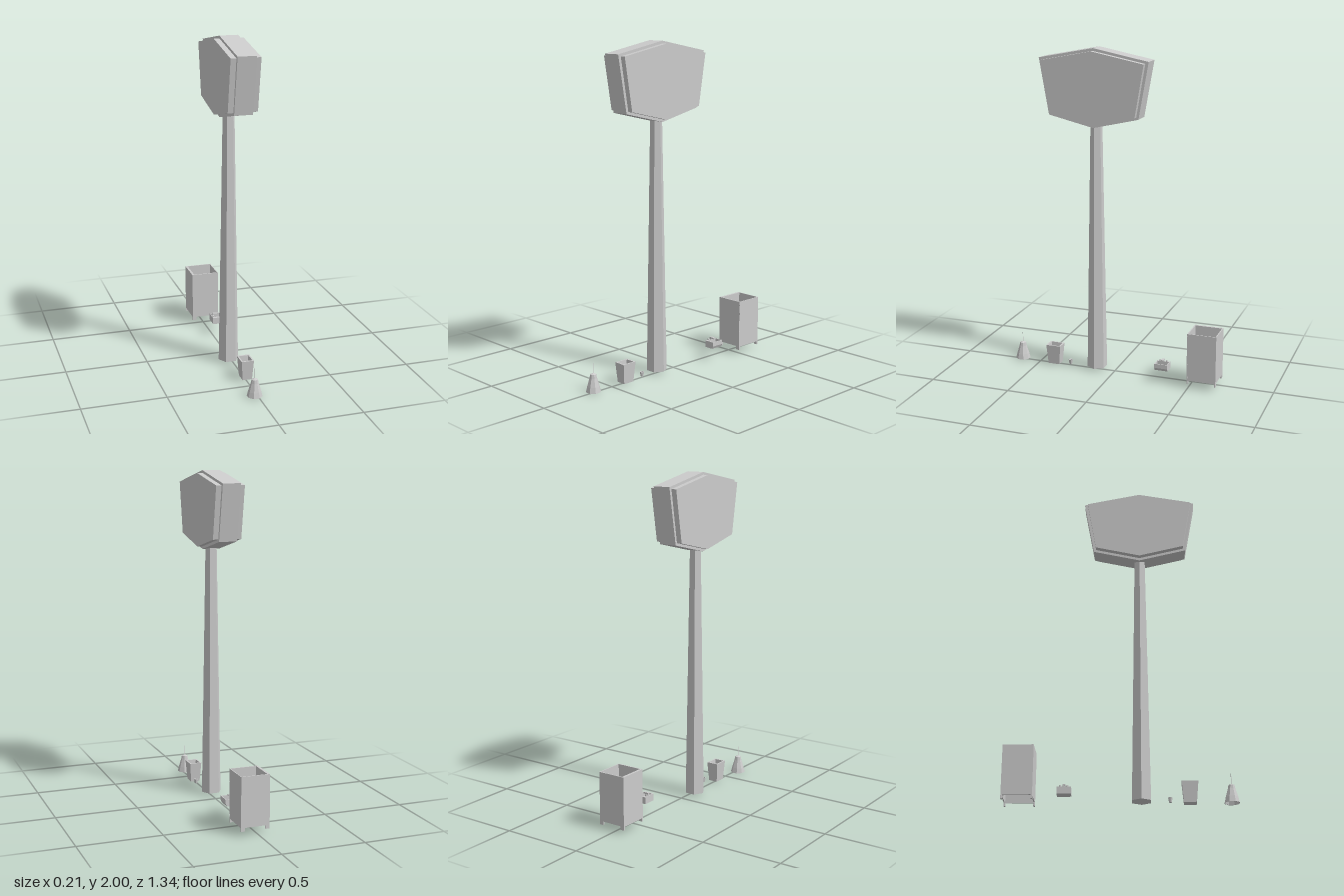
import * as THREE from 'three';

const mat = new THREE.MeshStandardMaterial({ color: 0xcccccc, flatShading: true, side: THREE.DoubleSide });

function add(parent, name, geometry, x = 0, y = 0, z = 0) {
  const mesh = new THREE.Mesh(geometry, mat);
  mesh.name = name;
  mesh.position.set(x, y, z);
  parent.add(mesh);
  return mesh;
}

function group(parent, name, x = 0, y = 0, z = 0) {
  const g = new THREE.Group();
  g.name = name;
  g.position.set(x, y, z);
  parent.add(g);
  return g;
}

// Box given by its low and high corners
function box(parent, name, [x0, y0, z0], [x1, y1, z1]) {
  return add(parent, name, new THREE.BoxGeometry(x1 - x0, y1 - y0, z1 - z0),
    (x0 + x1) / 2, (y0 + y1) / 2, (z0 + z1) / 2);
}

// Faceted lathe whose flat sides line up with the axes
function facetedLathe(profile, sides) {
  const points = profile.map(([r, y]) => new THREE.Vector2(r / Math.cos(Math.PI / sides), y));
  return new THREE.LatheGeometry(points, sides, Math.PI / sides);
}

// Profile drawn in (z, y), extruded across x from x0 to x1
function slab(points, x0, x1) {
  const shape = new THREE.Shape(points.map(([z, y]) => new THREE.Vector2(z, y)));
  const geo = new THREE.ExtrudeGeometry(shape, { depth: x1 - x0, bevelEnabled: false });
  return geo.rotateY(-Math.PI / 2).translate(x1, 0, 0);
}

// Symmetric six-sided sign outline
function signOutline(shoulder, shoulderY, foot, footY, top, bottom) {
  return [[0, bottom], [foot, footY], [shoulder, shoulderY], [0, top], [-shoulder, shoulderY], [-foot, footY]];
}

function buildSign(root) {
  const sign = group(root, 'roadsideSign', -0.017, 0, 0.122);
  add(sign, 'signFrame', slab(signOutline(0.34, 1.934, 0.28, 1.597, 2.0, 1.532), -0.055, 0.055));
  add(sign, 'signPanels', slab(signOutline(0.32, 1.922, 0.267, 1.61, 1.984, 1.548), -0.088, 0.088));
  // Tapered hexagonal pole with corners pointing along x
  const pole = new THREE.CylinderGeometry(0.036, 0.062, 1.534, 6);
  pole.rotateY(Math.PI / 2);
  add(sign, 'signPole', pole, 0, 0.783, 0);
}

function buildLamp(root) {
  const lamp = group(root, 'pendantLamp', -0.016, 0, 0.628);
  add(lamp, 'lampShade', facetedLathe([
    [0.038, 0.003], [0.042, 0.003], [0.035, 0.035], [0.021, 0.085], [0.017, 0.107], [0, 0.114],
    [0, 0.108], [0.013, 0.102], [0.017, 0.083], [0.031, 0.035], [0.038, 0.003],
  ], 8));
  add(lamp, 'lampBulb', new THREE.SphereGeometry(0.013, 8, 6), 0, 0.04, 0);
  add(lamp, 'bulbSocket', new THREE.CylinderGeometry(0.007, 0.007, 0.06, 8), 0, 0.078, 0);
  add(lamp, 'lampCord', new THREE.CylinderGeometry(0.0015, 0.0015, 0.064, 6), 0, 0.143, 0);
}

function buildBin(root) {
  const bin = group(root, 'wasteBin', 0.004, 0, 0.396);
  const walls = add(bin, 'binWalls', facetedLathe([
    [0, 0.01], [0.036, 0.01], [0.047, 0.132], [0.037, 0.132], [0.028, 0.02], [0, 0.02],
  ], 4));
  walls.scale.x = 0.8;
}

function buildCup(root) {
  const cup = group(root, 'smallCup', 0.026, 0, 0.284);
  add(cup, 'cupWalls', facetedLathe([
    [0, 0.023], [0.008, 0.023], [0.0125, 0.05], [0.01, 0.05], [0.006, 0.027], [0, 0.027],
  ], 8));
}

function buildSink(root) {
  const sink = group(root, 'sink', 0.039, 0, -0.32);
  const hx = 0.034, hz = 0.041;
  // Underside narrows slightly toward the front edge
  const base = new THREE.BoxGeometry(2 * hx, 0.016, 2 * hz);
  const p = base.attributes.position;
  for (let i = 0; i < p.count; i++) if (p.getY(i) < 0 && p.getX(i) > 0) p.setX(i, hx - 0.008);
  add(sink, 'sinkBase', base, 0, 0.082, 0);
  box(sink, 'backLedge', [-hx, 0.09, -hz], [-0.02, 0.116, hz]);
  box(sink, 'frontRim', [hx - 0.005, 0.09, -hz], [hx, 0.116, hz]);
  for (const s of [-1, 1]) {
    const rim = box(sink, 'sideRim', [-0.02, 0.09, hz - 0.005], [hx - 0.005, 0.116, hz]);
    rim.position.z *= s;
    add(sink, 'tapKnob', new THREE.CylinderGeometry(0.006, 0.006, 0.009, 8), -0.027, 0.1205, s * 0.02);
  }
  box(sink, 'faucetStem', [-0.028, 0.116, -0.005], [-0.018, 0.126, 0.005]);
  box(sink, 'faucetSpout', [-0.028, 0.124, -0.008], [0.004, 0.133, 0.008]);
}

function buildCabinet(root) {
  // Open-topped stall with thin walls
  const cab = group(root, 'cabinet', 0.0135, 0, -0.579);
  const h = 0.0865, d = 0.089, low = 0.048, high = 0.344, ground = 0.027;
  box(cab, 'thickSideWall', [-h, low, -d], [-h + 0.014, high, d]);
  box(cab, 'thinSideWall', [h - 0.005, low, -d], [h, high, d]);
  box(cab, 'backWall', [-h + 0.014, low, -d], [h - 0.005, high, -d + 0.006]);
  box(cab, 'frontDoor', [-h + 0.014, low, d - 0.007], [h - 0.005, high, d]);
  for (const sx of [-1, 1]) for (const sz of [-1, 1]) {
    add(cab, 'cornerFoot', new THREE.BoxGeometry(0.024, low - ground, 0.008),
      sx * (h - 0.012), (low + ground) / 2, sz * (d - 0.004));
  }
  // Hinges along the door edge
  for (const y of [0.07, 0.145, 0.265, 0.322]) {
    add(cab, 'doorHinge', new THREE.BoxGeometry(0.004, 0.012, 0.006), h, y, d - 0.006);
  }
}

export function createModel() {
  const root = new THREE.Group();
  root.name = 'roadsideProps';
  buildSign(root);
  buildLamp(root);
  buildBin(root);
  buildCup(root);
  buildSink(root);
  buildCabinet(root);
  return root;
}
